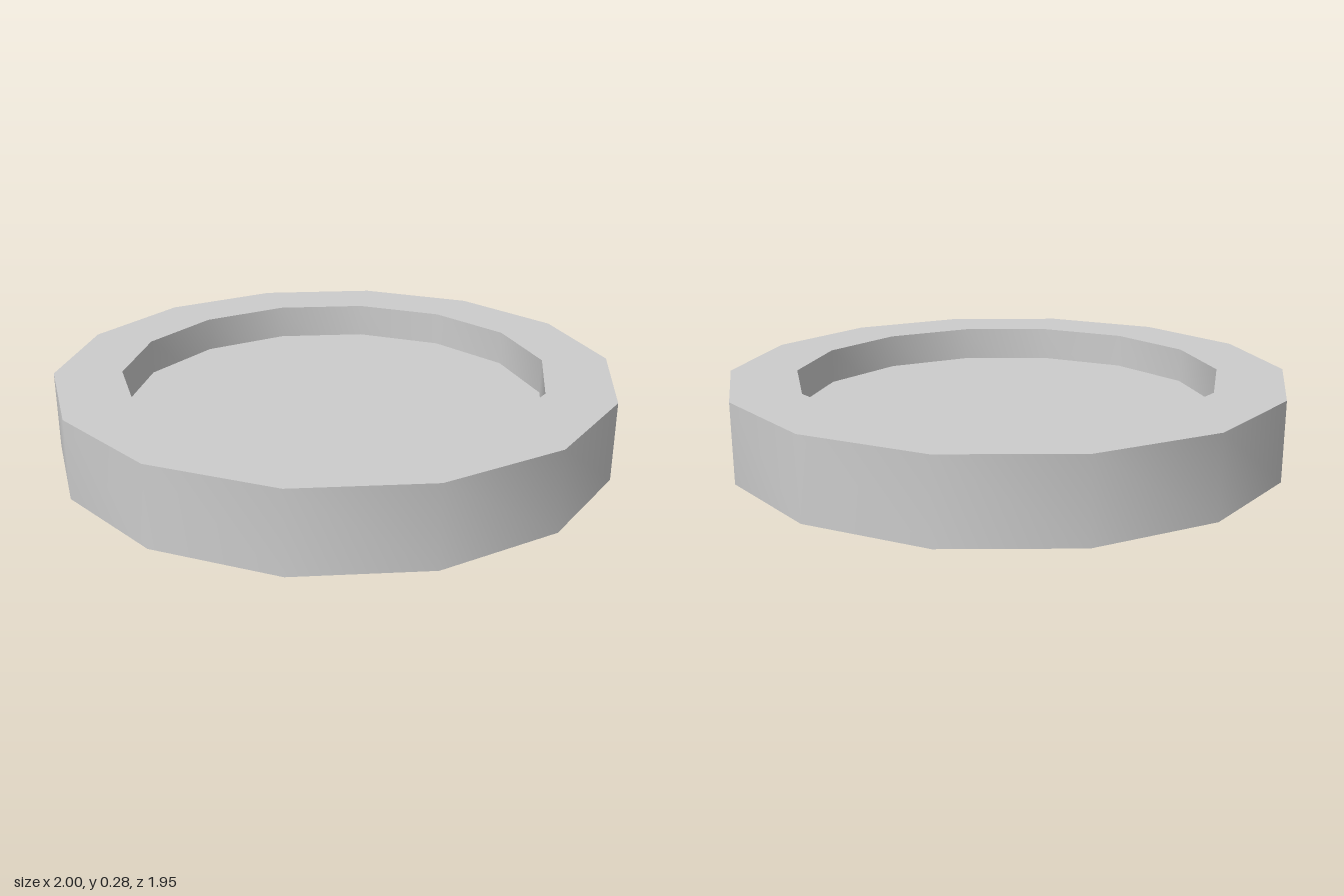
import * as THREE from 'three';
import { toCreasedNormals } from 'three/addons/utils/BufferGeometryUtils.js';

const SIDES = 14, OUTER = 1, INNER = 0.76, HEIGHT = 0.28;
const FLOOR_BOTTOM = 0.07, FLOOR_TOP = 0.153;

export function createModel() {
  const group = new THREE.Group();
  group.name = 'rimmedDisc';
  const material = new THREE.MeshStandardMaterial({ color: 0xcccccc });

  // Thick rim: closed rectangular profile, turned so corners lie on the x axis
  const profile = [
    [OUTER, 0], [OUTER, HEIGHT], [INNER, HEIGHT], [INNER, 0], [OUTER, 0],
  ].map(([r, y]) => new THREE.Vector2(r, y));
  const rimGeometry = new THREE.LatheGeometry(profile, SIDES, Math.PI / 2);
  // Smooth around the ring, sharp at the rim edges
  const rim = new THREE.Mesh(toCreasedNormals(rimGeometry, Math.PI / 6), material);
  rim.name = 'rim';
  group.add(rim);

  // Plate filling the opening, recessed from both sides
  const thickness = FLOOR_TOP - FLOOR_BOTTOM;
  const plate = new THREE.Mesh(
    new THREE.CylinderGeometry(INNER, INNER, thickness, SIDES, 1, false, Math.PI / 2),
    material
  );
  plate.position.y = FLOOR_BOTTOM + thickness / 2;
  plate.name = 'plate';
  group.add(plate);

  return group;
}
